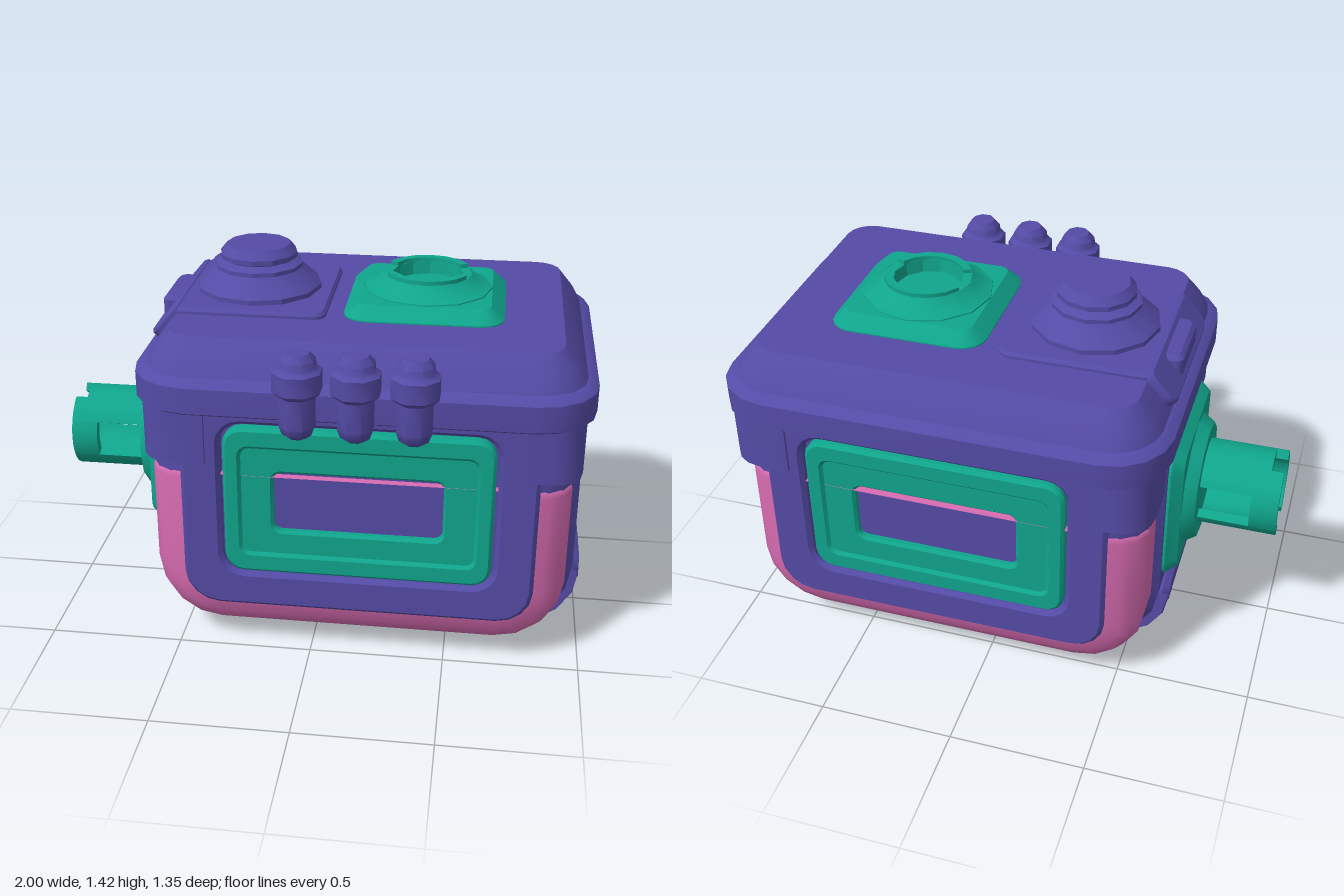
import * as THREE from 'three';
import { toCreasedNormals } from 'three/addons/utils/BufferGeometryUtils.js';

const mat = (color) => new THREE.MeshStandardMaterial({ color });

// Rounded rectangle, counter-clockwise; r = bottom corner radius, rt = top corner radius
function ring([x0, x1, y0, y1, r, rt = r], inset = 0, keepTop = false, seg = 4) {
  x0 += inset; x1 -= inset; y0 += inset;
  if (!keepTop) y1 -= inset;
  const a = Math.max(r - inset, 0.025);
  const b = keepTop ? rt : Math.max(rt - inset, 0.025);
  const pts = [];
  [[x1 - b, y1 - b, b], [x0 + b, y1 - b, b], [x0 + a, y0 + a, a], [x1 - a, y0 + a, a]].forEach(([cx, cy, q], k) => {
    for (let i = 0; i <= seg; i++) {
      const t = (k + i / seg) * Math.PI / 2;
      pts.push(new THREE.Vector2(cx + q * Math.cos(t), cy + q * Math.sin(t)));
    }
  });
  return pts;
}

// Solid through rounded rectangles; steps are [z, inset] pairs
function loft(box, steps, keepTop = false) {
  const rings = steps.map(([z, inset]) => ring(box, inset, keepTop).map((p) => [p.x, p.y, z]));
  const n = rings[0].length, last = rings[rings.length - 1], pos = [];
  for (let k = 0; k < rings.length - 1; k++) {
    for (let i = 0; i < n; i++) {
      const j = (i + 1) % n, a = rings[k], b = rings[k + 1];
      pos.push(...a[i], ...a[j], ...b[j], ...a[i], ...b[j], ...b[i]);
    }
  }
  for (let i = 1; i < n - 1; i++) {
    pos.push(...rings[0][0], ...rings[0][i + 1], ...rings[0][i], ...last[0], ...last[i], ...last[i + 1]);
  }
  const g = new THREE.BufferGeometry();
  g.setAttribute('position', new THREE.Float32BufferAttribute(pos, 3));
  return g;
}

// Plate from z0 to z1, optionally with a hole and a bevelled edge
function plate(points, z0, z1, hole, bevel = 0) {
  const s = new THREE.Shape(points);
  if (hole) s.holes.push(new THREE.Path(hole));
  const g = new THREE.ExtrudeGeometry(s, {
    depth: z1 - z0 - 2 * bevel, bevelEnabled: bevel > 0, bevelSize: bevel,
    bevelThickness: bevel, bevelOffset: -bevel, bevelSegments: 1,
  });
  return g.translate(0, 0, z0 + bevel);
}

// Piece of a tube wall along z
function arcWall(r0, r1, a0, a1, z0, z1) {
  const pts = [], n = 6;
  for (let i = 0; i <= n; i++) pts.push([r1, a0 + (a1 - a0) * i / n]);
  for (let i = n; i >= 0; i--) pts.push([r0, a0 + (a1 - a0) * i / n]);
  return plate(pts.map(([r, a]) => new THREE.Vector2(r * Math.cos(a), r * Math.sin(a))), z0, z1);
}

const lathe = (pts, sides) => new THREE.LatheGeometry(pts.map((p) => new THREE.Vector2(...p)), sides);

export function createModel() {
  const model = new THREE.Group();
  const purple = mat(0x544ba6), green = mat(0x10a58c), pink = mat(0xd66bb0);
  const add = (name, geo, material, parent = model, crease = 0.5) => {
    const m = new THREE.Mesh(toCreasedNormals(geo, crease), material);
    m.name = name;
    parent.add(m);
    return m;
  };
  const group = (name, x, y, z) => {
    const g = new THREE.Group();
    g.name = name;
    g.position.set(x, y, z);
    model.add(g);
    return g;
  };
  const up = -Math.PI / 2;

  // Body with rounded lower edges, hollowed at both ends for the windows, and a pink lower shell
  const end = [[0.45, 0], [0.505, 0.03], [0.54, 0.08], [0.555, 0.13], [0.49, 0.13]];
  const round = (grow) => [
    ...end.map(([z, i]) => [-z - 0.05 - grow, i]).reverse(),
    ...end.map(([z, i]) => [z - 0.05 + grow, i]),
  ];
  add('bodyCore', loft([-0.585, 0.925, 0.075, 1, 0.25, 0.03], round(0), true), purple);
  add('lowerShell', loft([-0.59, 0.93, 0.07, 0.73, 0.25, 0.03], round(0.005), true), pink);
  add('centreBand', loft([-0.615, 0.965, 0.04, 1, 0.27, 0.03],
    [[-0.395, 0.03], [-0.365, 0], [0.27, 0], [0.3, 0.03]], true), purple);

  // Collar under the lid, notched front and back for the windows
  const c = ring([-0.61, 0.96, -0.54, 0.635, 0.12]);
  const V = (x, y) => new THREE.Vector2(x, y);
  c.splice(15, 0, V(-0.37, -0.54), V(-0.37, -0.44), V(0.72, -0.44), V(0.72, -0.54));
  c.splice(5, 0, V(0.72, 0.635), V(0.72, 0.535), V(-0.37, 0.535), V(-0.37, 0.635));
  add('collar', plate(c, 0.78, 1).rotateX(up), purple);

  // Lid with a ledge above its rim
  add('lid', loft([-0.645, 0.995, -0.575, 0.67, 0.22],
    [[0.98, 0.015], [0.99, 0], [1.085, 0], [1.105, 0.025], [1.11, 0.04], [1.165, 0.07], [1.23, 0.125]]).rotateX(up), purple);
  add('lidTab', plate([V(0.19, 0.93), V(0.215, 0.985), V(-0.115, 0.985), V(-0.09, 0.93)], 0.95, 0.967)
    .rotateY(Math.PI / 2), pink);

  // Window panels, front and back
  [0, Math.PI].forEach((turn, k) => {
    const w = group(k ? 'backWindow' : 'frontWindow', 0.175, 0, -0.05);
    w.rotation.y = turn;
    add('panel', plate(ring([-0.64, 0.64, 0.195, 1, 0.13, 0.03]), 0.48, 0.574,
      ring([-0.495, 0.495, 0.335, 0.935, 0.08]), 0.015), purple, w);
    add('outerFrame', plate(ring([-0.485, 0.485, 0.34, 0.92, 0.07]), 0.5, 0.57,
      ring([-0.42, 0.42, 0.42, 0.84, 0.03]), 0.012), green, w);
    add('innerFrame', plate(ring([-0.43, 0.43, 0.41, 0.85, 0.03]), 0.5, 0.558,
      ring([-0.305, 0.305, 0.51, 0.745, 0.03]), 0.01), green, w);
    add('screen', loft([-0.52, 0.52, 0.32, 0.96, 0.05], [[0.48, 0], [0.53, 0]]), purple, w);
  });

  // Two runners under the body, joined by an arch on each side
  for (const [z0, z1] of [[0.125, 0.21], [-0.31, -0.225]]) {
    add('runner', loft([-0.645, 0.995, 0, 0.25, 0.24, 0.025],
      [[z0, 0.005], [z0 + 0.01, 0], [z1 - 0.01, 0], [z1, 0.005]], true), purple);
  }
  add('runnerArch', loft([-0.21, 0.31, 0.21, 0.315, 0.025, 0.07],
    [[-0.645, 0.02], [-0.62, 0], [0.97, 0], [0.995, 0.02]]).rotateY(Math.PI / 2), purple);

  // Dial on a thin rounded plate that folds over the lid edge
  const sideways = (g) => g.rotateX(up).rotateY(Math.PI / 2);
  add('dialPlate', sideways(loft([-0.235, 0.35, -0.02, 0.53, 0.05, 0.025],
    [[1.22, 0], [1.24, 0], [1.252, 0.01]])), purple);
  const flap = add('dialPlateFlap', sideways(loft([-0.235, 0.35, -0.02, 0.135, 0.025, 0.05],
    [[-0.02, 0], [0.008, 0], [0.018, 0.01]])), purple);
  flap.position.set(-0.527, 1.235, 0);
  flap.rotation.z = 0.87;
  add('dialLatch', loft([-0.61, -0.515, -0.085, 0.195, 0.02],
    [[1.15, 0], [1.225, 0], [1.24, 0.015]]).rotateX(up), purple);
  add('dial', lathe([[0.235, 1.24], [0.235, 1.27], [0.165, 1.335], [0.165, 1.35], [0.13, 1.365], [0.145, 1.372],
    [0.145, 1.39], [0.12, 1.42], [0, 1.42]], 12), purple).position.set(-0.265, 0, -0.055);

  // Socket on the lid
  const socket = group('topSocket', 0.37, 0, -0.055);
  add('socketPlate', loft([-0.29, 0.29, -0.29, 0.29, 0.09],
    [[1.2, 0], [1.235, 0], [1.28, 0.05]]).rotateX(up), green, socket);
  add('socketCup', lathe([[0.245, 1.25], [0.24, 1.285], [0.2, 1.3], [0.165, 1.332], [0.13, 1.332], [0.125, 1.285], [0, 1.285]], 12),
    green, socket);
  const h = 0.453;
  for (const a of [0, Math.PI]) {
    add('socketRim', arcWall(0.13, 0.16, a + h, a + Math.PI - h, 1.32, 1.347).rotateX(up), green, socket);
  }

  // Slotted tube port on the right side; local z points outward
  const port = group('sidePort', 0, 0.635, -0.055);
  port.rotation.y = -Math.PI / 2;
  add('portPlate', loft([-0.29, 0.29, -0.29, 0.29, 0.09], [[0.57, 0], [0.625, 0], [0.665, 0.035]]), green, port);
  add('portFlange', lathe([[0.25, 0.64], [0.25, 0.665], [0.22, 0.71], [0, 0.71]], 12).rotateX(Math.PI / 2), green, port);
  for (let i = 0; i < 4; i++) {
    const a = i * Math.PI / 2;
    add('portWall', arcWall(0.125, 0.16, a + h, a + Math.PI / 2 - h, 0.7, 1), green, port);
    // Windows at front and back, notches at top and bottom
    const [z0, z1] = i % 2 ? [0.7, 0.955] : [0.9, 1];
    add('portBridge', arcWall(0.125, 0.16, a - h, a + h, z0, z1), green, port);
  }

  // Three bulbs along the front rim
  for (let i = 0; i < 3; i++) {
    const bulb = add('bulb', lathe([[0, 0.94], [0.035, 0.94], [0.055, 0.955], [0.066, 0.985], [0.066, 1.095], [0.089, 1.115],
      [0.089, 1.185], [0.07, 1.198], [0.066, 1.225], [0.045, 1.25], [0, 1.25]], 8).rotateY(Math.PI / 8), purple, model, 0.8);
    bulb.position.set(-0.025 + 0.2 * i, 0, 0.595);
  }
  return model;
}
